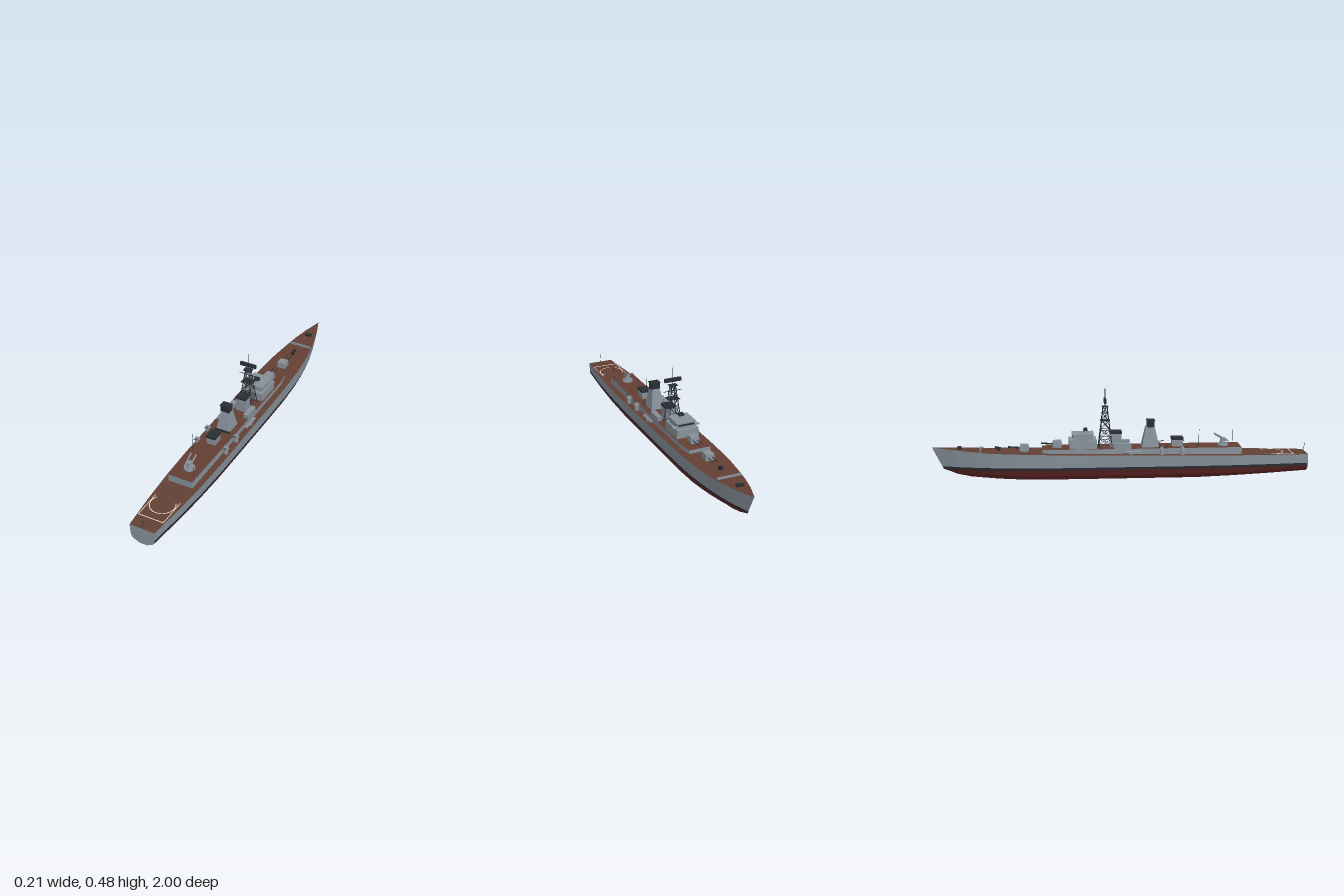
import * as THREE from 'three';

const mat = (color) => new THREE.MeshStandardMaterial({ color, flatShading: true });
const grey = mat(0x87919a), brown = mat(0x633f34), red = mat(0x672a28), dark = mat(0x2a2e32), white = mat(0xd8d4c8);
white.side = THREE.DoubleSide;

// Linear interpolation through [z, value] pairs
function sample(table, z) {
  for (let i = 1; i < table.length; i++) {
    const [a, u] = table[i - 1], [b, v] = table[i];
    if (z <= b) return u + (v - u) * (z - a) / (b - a);
  }
  return table[table.length - 1][1];
}
const BEAM = [[-1, 0.001], [-0.95, 0.018], [-0.9, 0.035], [-0.8, 0.06], [-0.7, 0.078], [-0.6, 0.09], [-0.5, 0.098],
  [-0.35, 0.103], [-0.1, 0.105], [0.4, 0.105], [0.6, 0.1], [0.8, 0.088], [1, 0.07]];
const DECK = [[-1, 0.178], [-0.7, 0.155], [-0.3, 0.145], [0.2, 0.137], [0.6, 0.13], [1, 0.124]];
const KEEL = [[-1, 0.034], [-0.9, 0.02], [-0.7, 0.008], [-0.5, 0.001], [-0.3, 0], [0.4, 0], [0.7, 0.01], [1, 0.027]];
const deckY = (z) => sample(DECK, z);

function createModel() {
  const ship = new THREE.Group();
  ship.name = 'warship';

  const add = (name, geo, material, x = 0, y = 0, z = 0, parent = ship) => {
    const m = new THREE.Mesh(geo, material);
    m.name = name;
    m.position.set(x, y, z);
    parent.add(m);
    return m;
  };
  // Box standing on y, optionally tapered towards its top
  const box = (name, material, w, h, d, x, y, z, topW = 1, topD = 1, parent = ship) => {
    const g = new THREE.BoxGeometry(w, h, d), p = g.attributes.position;
    for (let i = 0; i < p.count; i++) if (p.getY(i) > 0) p.setXYZ(i, p.getX(i) * topW, p.getY(i), p.getZ(i) * topD);
    g.computeVertexNormals();
    return add(name, g, material, x, y + h / 2, z, parent);
  };
  const drum = (name, material, r1, r2, h, x, y, z, parent = ship, n = 12) =>
    add(name, new THREE.CylinderGeometry(r2, r1, h, n), material, x, y + h / 2, z, parent);
  const rod = (name, a, b, r, material = dark, parent = ship, n = 6) => {
    const A = new THREE.Vector3(...a), B = new THREE.Vector3(...b), d = B.clone().sub(A);
    const m = add(name, new THREE.CylinderGeometry(r, r, d.length(), n), material, 0, 0, 0, parent);
    m.position.copy(A.add(B).multiplyScalar(0.5));
    m.quaternion.setFromUnitVectors(new THREE.Vector3(0, 1, 0), d.normalize());
    return m;
  };
  const prism = (name, pts, y, h, materials) => {
    const shape = new THREE.Shape(pts.map(([x, z]) => new THREE.Vector2(x, -z)));
    const g = new THREE.ExtrudeGeometry(shape, { depth: h, bevelEnabled: false });
    return add(name, g.rotateX(-Math.PI / 2), materials, 0, y, 0);
  };

  // Hull: rings of ten points, from bow to stern
  const stations = BEAM.map(([z]) => z);
  const widths = [0.3, 0.8, 0.95, 0.965, 1], stem = [0.87, 0.9, 0.94, 0.948, 1];
  const rings = stations.map((z) => {
    const bow = Math.max(0, (-z - 0.4) / 0.6), keel = sample(KEEL, z);
    const ys = [keel, keel + (0.062 - keel) * 0.48, 0.062, 0.076, deckY(z)];
    const side = ys.map((y, k) => {
      const zz = z < -0.5 ? -0.5 + (z + 0.5) * (stem[k] - 0.5) / 0.5 : z;
      return [sample(BEAM, z) * widths[k] * (1 - 0.3 * bow * (1 - k / 4)), y, zz];
    });
    return [...side.map(([x, y, zz]) => [-x, y, zz]).reverse(), ...side];
  });
  const hullStrip = (name, material, segments) => {
    const v = [];
    for (const j of segments) for (let i = 0; i < rings.length - 1; i++) {
      const k = (j + 1) % 10, a = rings[i][j], b = rings[i][k], c = rings[i + 1][j], d = rings[i + 1][k];
      v.push(...a, ...b, ...c, ...b, ...d, ...c);
    }
    const g = new THREE.BufferGeometry();
    g.setAttribute('position', new THREE.Float32BufferAttribute(v, 3));
    g.computeVertexNormals();
    add(name, g, material);
  };
  hullStrip('hullSides', grey, [0, 8]);
  hullStrip('waterlineBand', dark, [1, 7]);
  hullStrip('hullBottom', red, [2, 3, 4, 5, 6]);
  hullStrip('mainDeck', brown, [9]);
  const transom = new THREE.Shape(rings[rings.length - 1].map(([x, y]) => new THREE.Vector2(x, y)));
  add('transom', new THREE.ShapeGeometry(transom), grey, 0, 0, 1);

  // Long deckhouse
  const H = 0.168;
  prism('deckhouse', [[-0.068, 0.64], [0.068, 0.64], [0.07, 0.2], [0.07, -0.35], [0.058, -0.42], [-0.058, -0.42],
    [-0.07, -0.35], [-0.07, 0.2]], 0.12, H - 0.12, [brown, grey]);

  // Landing pad markings
  const ring = add('padCircle', new THREE.RingGeometry(0.063, 0.068, 32, 1, Math.PI * 0.8, Math.PI * 1.4), white, 0, 0.1285, 0.81);
  ring.rotation.x = -Math.PI / 2;
  for (const s of [-1, 1]) box('padSideLine', white, 0.004, 0.001, 0.16, s * 0.07, 0.1275, 0.84);
  box('padEndLine', white, 0.144, 0.001, 0.005, 0, 0.1265, 0.92);

  // Foredeck fittings
  box('breakwater', grey, 0.13, 0.012, 0.006, 0, deckY(-0.745) - 0.001, -0.745);
  box('anchorWinch', dark, 0.036, 0.012, 0.02, 0, deckY(-0.857), -0.857);
  drum('foredeckMount', dark, 0.008, 0.007, 0.012, 0, deckY(-0.65), -0.65);
  box('foredeckLauncher', dark, 0.016, 0.012, 0.032, 0, deckY(-0.655) + 0.01, -0.655).rotation.x = 0.2;

  // Twin gun turrets
  for (const [z, y] of [[-0.515, deckY(-0.515)], [-0.34, H]]) {
    const t = new THREE.Group();
    t.name = 'gunTurret';
    t.position.set(0, y, z);
    ship.add(t);
    drum('turretRing', grey, 0.02, 0.02, 0.006, 0, -0.002, 0, t);
    box('turretHouse', grey, 0.047, 0.034, 0.05, 0, 0.003, 0, 0.95, 0.92, t);
    for (const s of [-1, 1]) rod('gunBarrel', [s * 0.011, 0.019, -0.02], [s * 0.011, 0.024, -0.085], 0.0022, dark, t);
  }

  // Bridge with wings, windows and director
  box('bridgeBase', grey, 0.124, 0.046, 0.145, 0, H, -0.205, 0.97, 1);
  box('bridgeHouse', grey, 0.1, 0.027, 0.105, 0, 0.214, -0.205);
  box('bridgeWindows', dark, 0.092, 0.01, 0.003, 0, 0.226, -0.258);
  box('bridgeRoof', grey, 0.108, 0.004, 0.115, 0, 0.241, -0.205);
  box('bridgeWings', grey, 0.15, 0.004, 0.022, 0, 0.221, -0.25);
  drum('directorBase', grey, 0.014, 0.012, 0.012, 0, 0.245, -0.19);
  box('director', dark, 0.03, 0.014, 0.022, 0, 0.256, -0.19, 0.85, 0.85);

  // Forward stack
  box('forwardStack', grey, 0.056, 0.074, 0.06, 0, H, -0.03);
  box('forwardStackCap', dark, 0.06, 0.012, 0.064, 0, H + 0.074, -0.03);

  // Lattice mast
  const mast = new THREE.Group();
  mast.name = 'latticeMast';
  mast.position.z = -0.085;
  ship.add(mast);
  const levels = [H, 0.215, 0.262, 0.31, 0.348, 0.384];
  const half = (y) => 0.036 + (0.011 - 0.036) * (y - H) / (0.384 - H);
  const corner = (k, y) => [[1, 1], [1, -1], [-1, -1], [-1, 1]][k % 4].map((c) => c * half(y));
  const at = (k, y) => { const [x, z] = corner(k, y); return [x, y, z]; };
  for (let k = 0; k < 4; k++) {
    rod('mastLeg', at(k, H), at(k, 0.384), 0.002, dark, mast);
    for (let i = 1; i < levels.length; i++) {
      const a = levels[i - 1], b = levels[i];
      rod('mastBrace', at(k, a), at(k + 1, b), 0.0013, dark, mast, 4);
      rod('mastBrace', at(k + 1, a), at(k, b), 0.0013, dark, mast, 4);
      rod('mastRing', at(k, b), at(k + 1, b), 0.0013, dark, mast, 4);
    }
  }
  box('mastLowerPlatform', dark, 0.064, 0.003, 0.05, 0, 0.309, 0, 1, 1, mast);
  box('mastTopPlatform', dark, 0.046, 0.003, 0.034, 0, 0.383, 0, 1, 1, mast);
  rod('mastYard', [-0.051, 0.353, 0], [0.051, 0.353, 0], 0.0017, dark, mast);
  rod('topmast', [0, 0.384, 0], [0, 0.482, 0], 0.0018, dark, mast);
  box('radarAntenna', dark, 0.092, 0.02, 0.012, 0, 0.405, 0, 1, 1, mast);

  // Main funnel with dark cap
  box('funnel', grey, 0.076, 0.107, 0.094, 0, H, 0.155, 0.58, 0.5);
  box('funnelCap', dark, 0.05, 0.036, 0.038, 0, 0.274, 0.158);
  box('funnelCapRim', dark, 0.056, 0.004, 0.044, 0, 0.307, 0.158);
  box('funnelFoot', dark, 0.09, 0.008, 0.01, 0, H, 0.204);

  // Aft house with dark roof
  box('aftHouse', grey, 0.05, 0.038, 0.058, 0, H, 0.3);
  box('aftHouseRoof', dark, 0.054, 0.014, 0.062, 0, H + 0.036, 0.3);

  // Aft twin-arm launcher, arms raised towards the bow
  const launcher = new THREE.Group();
  launcher.name = 'aftLauncher';
  launcher.position.set(0, H, 0.548);
  ship.add(launcher);
  drum('launcherBase', grey, 0.03, 0.028, 0.01, 0, 0, 0, launcher, 16);
  drum('launcherPedestal', grey, 0.018, 0.015, 0.016, 0, 0.01, 0, launcher);
  box('launcherHead', grey, 0.018, 0.02, 0.028, 0, 0.02, 0, 1, 1, launcher);
  for (const s of [-1, 1]) {
    rod('launcherArm', [s * 0.014, 0.024, 0.028], [s * 0.014, 0.061, -0.045], 0.0042, grey, launcher, 8);
    rod('launcherTrunnion', [0, 0.032, 0.005], [s * 0.016, 0.032, 0.005], 0.004, grey, launcher);
  }

  for (const s of [-1, 1]) {
    // Boats and side tubes
    box('shipBoat', grey, 0.026, 0.026, 0.088, s * 0.056, H, 0.005, 1.05, 1.05);
    for (const x of [0.08, 0.089]) rod('sideTube', [s * x, 0.153, 0], [s * x, 0.153, 0.1], 0.0045, grey, ship, 8);
    box('tubeCradle', grey, 0.02, 0.014, 0.014, s * 0.084, 0.137, 0.05);

    // Light gun mounts along the side
    for (const z of [0.21, 0.32]) {
      const y = deckY(z), x = s * 0.084;
      drum('lightGunBase', grey, 0.012, 0.01, 0.03, x, y, z);
      box('lightGunShield', grey, 0.03, 0.014, 0.018, x, y + 0.028, z, 0.7, 0.8);
      for (const o of [-0.004, 0.004]) rod('lightGunBarrel', [x + o, y + 0.036, z], [x + o, y + 0.045, z + 0.03], 0.0014);
    }
  }

  // Whip aerials and ensign staff
  rod('whipAerial', [-0.06, H, 0.41], [-0.06, 0.267, 0.41], 0.0012);
  rod('whipAerial', [0.06, H, 0.61], [0.06, 0.24, 0.61], 0.0012);
  rod('ensignStaff', [0, 0.12, 0.99], [0, 0.172, 0.995], 0.0012);

  return ship;
}

export { createModel };
